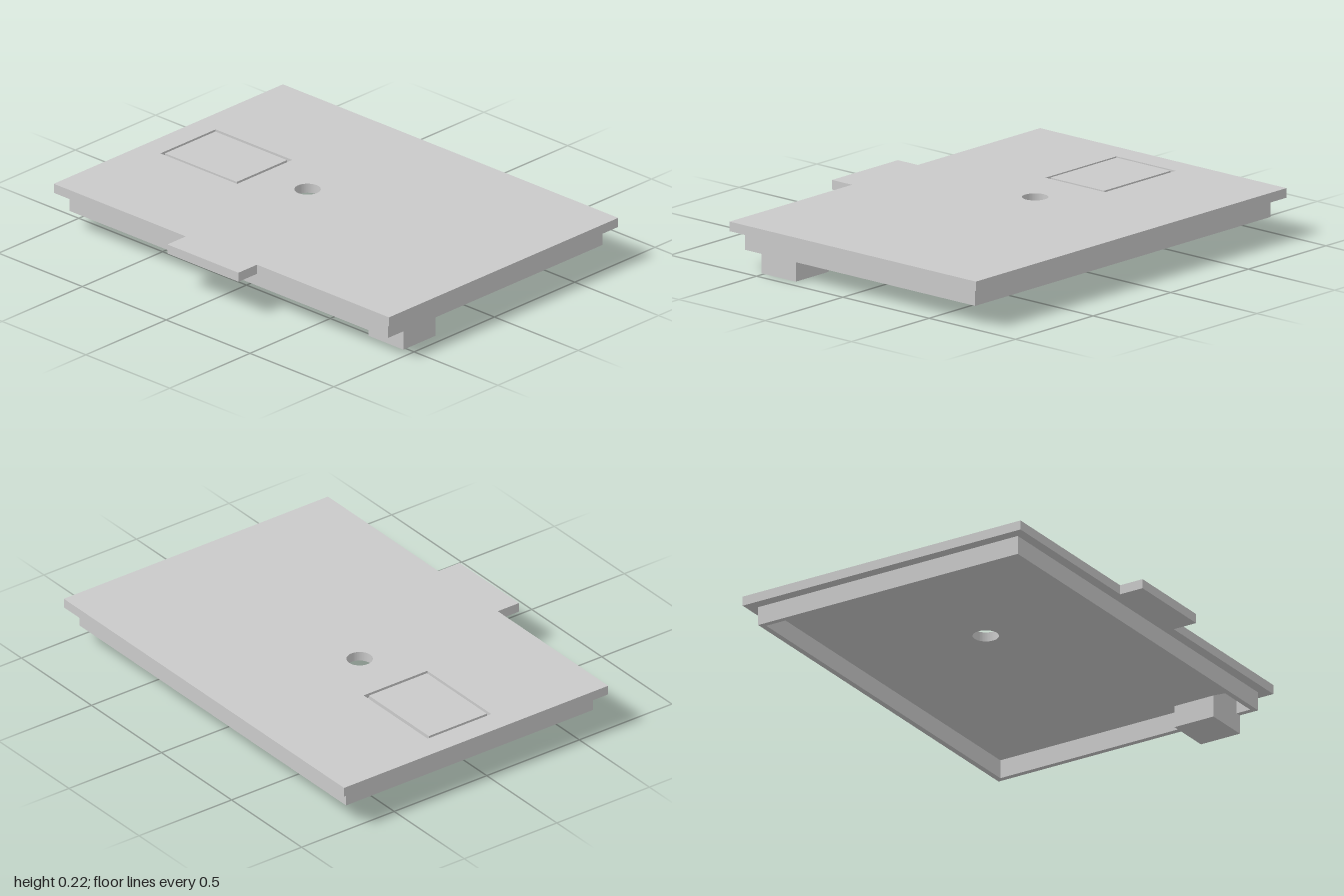
import * as THREE from 'three';

const grey = new THREE.MeshStandardMaterial({ color: 0xcacaca });
grey.name = 'plain grey';

// Rectangle in plan, given as x and z limits, anticlockwise seen from above
function rect(x0, x1, z0, z1, Type = THREE.Shape) {
  return new Type([[x0, z1], [x1, z1], [x1, z0], [x0, z0]].map(([x, z]) => new THREE.Vector2(x, -z)));
}

// Extrude a plan shape upwards between two heights
function slab(name, shape, y0, y1) {
  const geo = new THREE.ExtrudeGeometry(shape, { depth: y1 - y0, bevelEnabled: false, curveSegments: 32 });
  geo.rotateX(-Math.PI / 2).translate(0, y0, 0);
  const mesh = new THREE.Mesh(geo, grey);
  mesh.name = name;
  return mesh;
}

export function createModel() {
  const group = new THREE.Group();
  group.name = 'lid';
  const under = 0.172, top = 0.215, rimBottom = 0.087, wall = 0.025, rimX = 0.951;
  const outer = [-0.886, -0.429, -0.233, 0.111]; // groove limits
  const inner = [-0.872, -0.444, -0.216, 0.097];

  // Cover plate with front tab, round hole and an opening for the groove
  const plan = new THREE.Shape([
    [-1, 0.656], [-0.212, 0.656], [-0.212, 0.771], [0.212, 0.771],
    [0.212, 0.656], [1, 0.656], [1, -0.771], [-1, -0.771],
  ].map(([x, z]) => new THREE.Vector2(x, -z)));
  plan.holes.push(new THREE.Path().absarc(-0.172, 0.06, 0.057, 0, Math.PI * 2, true));
  plan.holes.push(rect(...outer, THREE.Path));
  group.add(slab('coverPlate', plan, under, top));

  // Panel outlined by a shallow groove
  group.add(slab('groovedPanel', rect(...inner), under, top));
  const floor = rect(...outer);
  floor.holes.push(rect(...inner, THREE.Path));
  group.add(slab('grooveFloor', floor, under, top - 0.02));

  // Rim under the plate
  const rim = rect(-rimX, rimX, -0.723, 0.61);
  rim.holes.push(rect(-rimX + wall, rimX - wall, -0.723 + wall, 0.61 - wall, THREE.Path));
  group.add(slab('rim', rim, rimBottom, under));

  // Catch block below the rim, with a sloping upper face
  const x = rimX - wall;
  const profile = new THREE.Shape([
    [0.742, 0], [rimX, 0], [rimX, rimBottom], [x, rimBottom], [x, under], [0.885, under], [0.742, 0.1],
  ].map(([a, b]) => new THREE.Vector2(a, b)));
  const catchGeo = new THREE.ExtrudeGeometry(profile, { depth: 0.2, bevelEnabled: false });
  const block = new THREE.Mesh(catchGeo.translate(0, 0, 0.316), grey);
  block.name = 'catchBlock';
  group.add(block);

  return group;
}
